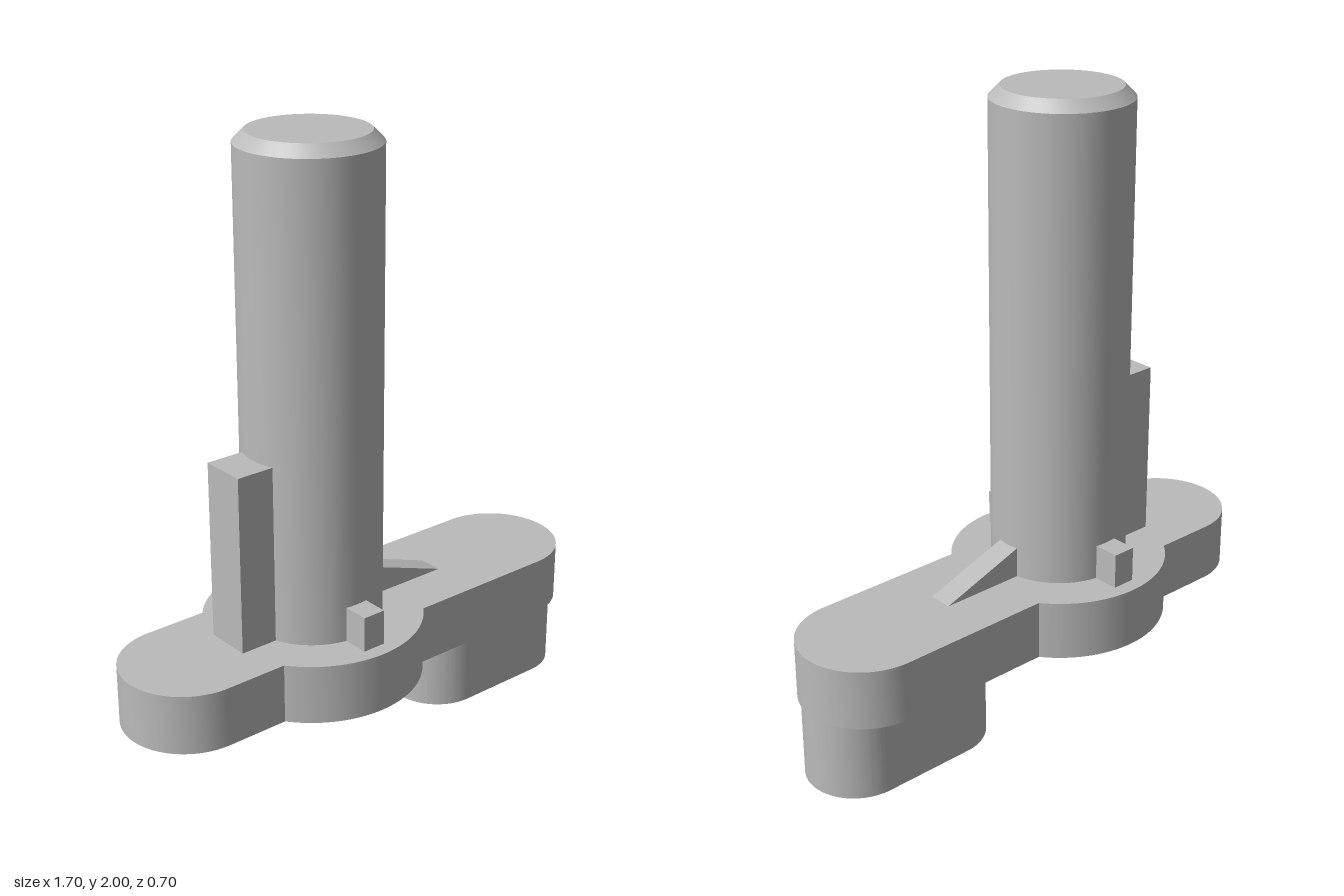
import * as THREE from 'three';
import { toCreasedNormals } from 'three/addons/utils/BufferGeometryUtils.js';

const HALF = Math.PI / 2;
const SHAFT_X = -0.155, SHAFT_R = 0.22;
const PLATE_Y = 0.26, PLATE_TOP = 0.455;

export function createModel() {
  const group = new THREE.Group();
  const grey = new THREE.MeshStandardMaterial({ color: 0xbababa });
  grey.name = 'grey';

  const add = (name, geometry, x = 0, y = 0, z = 0) => {
    const mesh = new THREE.Mesh(geometry, grey);
    mesh.name = name;
    mesh.position.set(x, y, z);
    group.add(mesh);
  };

  // Extrude a plan outline upwards, with smooth rounded walls
  const slab = (shape, height) => {
    const g = new THREE.ExtrudeGeometry(shape, { depth: height, bevelEnabled: false, curveSegments: 32 });
    return toCreasedNormals(g.rotateX(-HALF), 0.5);
  };

  // Box given by its limits
  const block = (name, x0, x1, y0, y1, z0, z1) =>
    add(name, new THREE.BoxGeometry(x1 - x0, y1 - y0, z1 - z0), (x0 + x1) / 2, (y0 + y1) / 2, (z0 + z1) / 2);

  // Lever plate: a round-ended bar merged with a disc around the shaft
  const barR = 0.212, barEnd = 0.85 - barR, discR = 0.35;
  const a = Math.asin(barR / discR);
  const plate = new THREE.Shape();
  plate.absarc(barEnd, 0, barR, -HALF, HALF);
  plate.absarc(SHAFT_X, 0, discR, a, Math.PI - a);
  plate.absarc(-barEnd, 0, barR, HALF, 3 * HALF);
  plate.absarc(SHAFT_X, 0, discR, Math.PI + a, 2 * Math.PI - a);
  plate.closePath();
  add('leverPlate', slab(plate, PLATE_TOP - PLATE_Y), 0, PLATE_Y);

  // Round-ended foot below the long arm
  const footR = 0.163;
  const foot = new THREE.Shape();
  foot.absarc(0.848 - footR, 0, footR, -HALF, HALF);
  foot.absarc(0.215 + footR, 0, footR, HALF, 3 * HALF);
  foot.closePath();
  add('foot', slab(foot, PLATE_Y));

  // Shaft with a chamfered top
  const profile = [[0, PLATE_TOP], [SHAFT_R, PLATE_TOP], [SHAFT_R, 1.965], [0.185, 2], [0, 2]];
  const lathe = new THREE.LatheGeometry(profile.map(([r, y]) => new THREE.Vector2(r, y)), 64);
  add('shaft', toCreasedNormals(lathe, 0.5), SHAFT_X);

  // Tall key on the short-arm side, small lugs front and back
  block('key', -0.487, -0.34, PLATE_TOP, 1.035, -0.076, 0.076);
  block('frontLug', -0.195, -0.118, PLATE_TOP, 0.57, 0.2, 0.302);
  block('backLug', -0.195, -0.118, PLATE_TOP, 0.57, -0.302, -0.2);

  // Sloping rib running onto the long arm
  const rib = new THREE.Shape([[0.03, PLATE_TOP], [0.345, PLATE_TOP], [0.062, 0.555], [0.03, 0.555]]
    .map(([x, y]) => new THREE.Vector2(x, y)));
  add('rib', new THREE.ExtrudeGeometry(rib, { depth: 0.08, bevelEnabled: false }), 0, 0, -0.04);

  return group;
}
